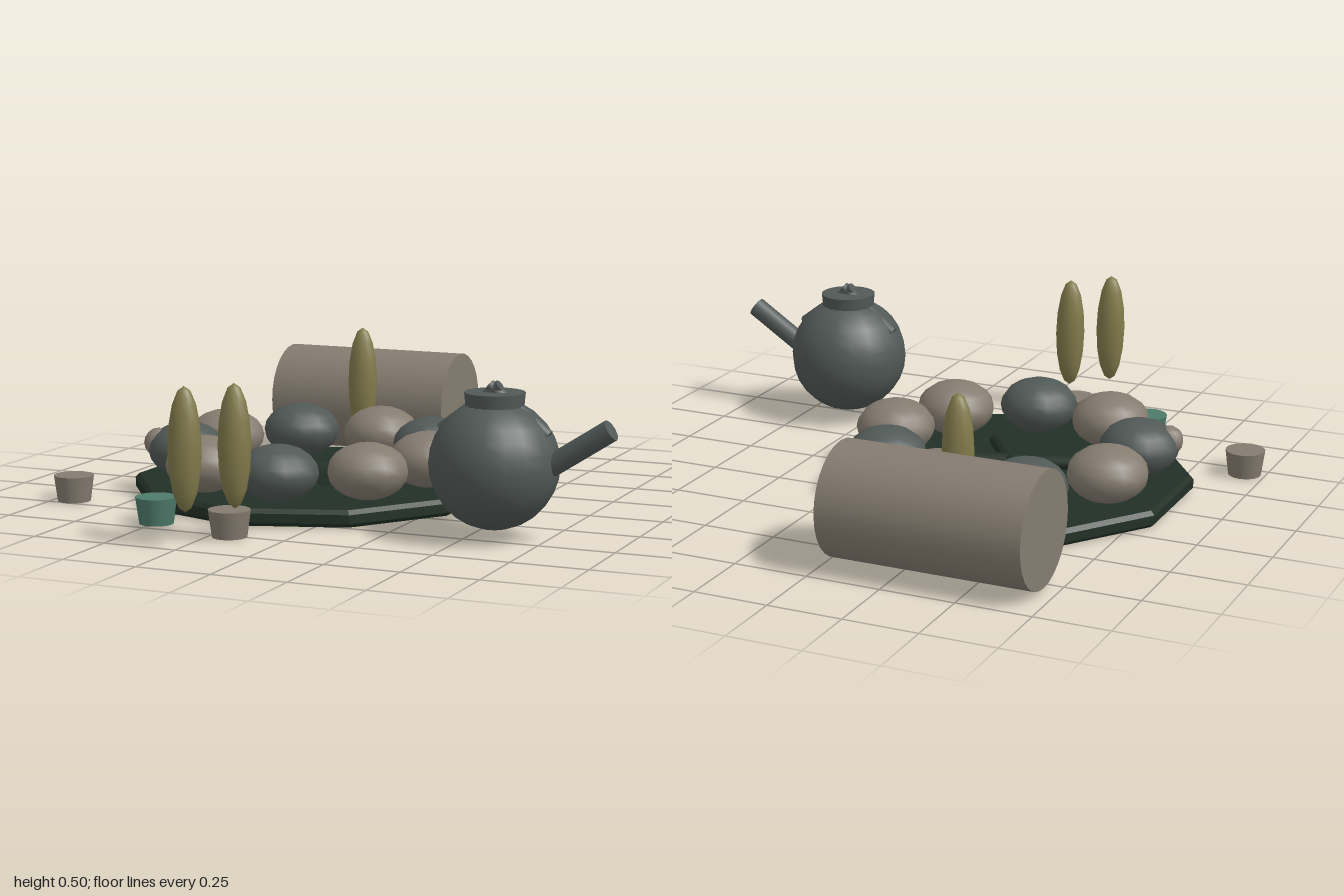
import * as THREE from 'three';

export function createModel() {
  const group = new THREE.Group();
  group.name = 'campSite';

  const material = (name, color) => {
    const m = new THREE.MeshStandardMaterial({ color });
    m.name = name;
    return m;
  };
  const warmGrey = material('warmGrey', 0x857c70);
  const slate = material('slate', 0x515957);
  const darkGreen = material('darkGreen', 0x223026);
  const teal = material('teal', 0x4d7a6b);
  const olive = material('olive', 0x827b4b);

  const add = (name, geometry, mat, x = 0, y = 0, z = 0) => {
    const mesh = new THREE.Mesh(geometry, mat);
    mesh.name = name;
    mesh.position.set(x, y, z);
    group.add(mesh);
    return mesh;
  };

  // Cylinder running between two points
  const bar = (name, from, to, radius, mat, sides = 10) => {
    const a = new THREE.Vector3(...from);
    const b = new THREE.Vector3(...to);
    const dir = b.clone().sub(a);
    const mesh = add(name, new THREE.CylinderGeometry(radius, radius, dir.length(), sides), mat);
    mesh.position.copy(a).add(b).multiplyScalar(0.5);
    mesh.quaternion.setFromUnitVectors(new THREE.Vector3(0, 1, 0), dir.normalize());
    return mesh;
  };

  // Ten-sided hearth slab with bevelled rim
  const cx = -0.245, cz = 0.016;
  const profile = [[0, 0.005], [0.6, 0.005], [0.614, 0.018], [0.614, 0.048], [0.6, 0.062], [0, 0.062]]
    .map(([r, y]) => new THREE.Vector2(r, y));
  const slab = new THREE.LatheGeometry(profile, 10).toNonIndexed();
  slab.computeVertexNormals();
  add('hearthSlab', slab, darkGreen, cx, 0, cz);

  // Ring of nine flattened stones, alternating in colour
  const stoneShape = new THREE.SphereGeometry(1, 14, 10);
  for (let i = 0; i < 9; i++) {
    const a = (i * Math.PI * 2) / 9;
    const stone = add('ringStone', stoneShape, i % 2 ? slate : warmGrey,
      cx + Math.cos(a) * 0.43, 0.152, cz - Math.sin(a) * 0.43);
    stone.scale.set(0.135, 0.094, 0.135);
    stone.rotation.y = a;
  }
  // Small pebble embedded in one stone
  add('pebble', new THREE.SphereGeometry(0.05, 10, 8), warmGrey, -0.74, 0.175, 0.2);

  // Crossed firewood
  for (const [dx, dz] of [[0.21, -0.066], [0.128, 0.173]]) {
    bar('firewood', [cx - dx, 0.09, cz - dz], [cx + dx, 0.09, cz + dz], 0.025, darkGreen, 8);
  }

  // Large log lying behind the fire
  bar('seatLog', [-0.71, 0.203, -0.815], [-0.03, 0.203, -0.815], 0.187, warmGrey, 28);

  // Kettle: body, lid, two handle bars, spout
  const kx = 0.587, kz = 0.455;
  add('kettleBody', new THREE.SphereGeometry(0.207, 18, 14), slate, kx, 0.24, kz);
  add('kettleLid', new THREE.CylinderGeometry(0.096, 0.09, 0.064, 20), slate, kx, 0.435, kz);
  for (const s of [-1, 1]) {
    bar('kettleHandle', [kx + s * 0.178, 0.34, kz], [kx - s * 0.018, 0.488, kz], 0.02, slate, 8);
  }
  bar('kettleSpout', [0.73, 0.218, kz], [0.967, 0.372, kz], 0.035, slate, 12);

  // Cups
  for (const [x, z, mat] of [[-0.93, 0.45, warmGrey], [-0.495, 0.67, teal], [-0.185, 0.76, warmGrey]]) {
    add('cup', new THREE.CylinderGeometry(0.068, 0.056, 0.088, 16), mat, x, 0.046, z);
  }

  // Upright seed heads
  for (const [x, z] of [[-0.308, -0.555], [-0.13, 0.828], [-0.242, 0.945]]) {
    const head = add('seedHead', new THREE.SphereGeometry(1, 10, 8), olive, x, 0.307, z);
    head.scale.set(0.053, 0.197, 0.053);
  }

  return group;
}
